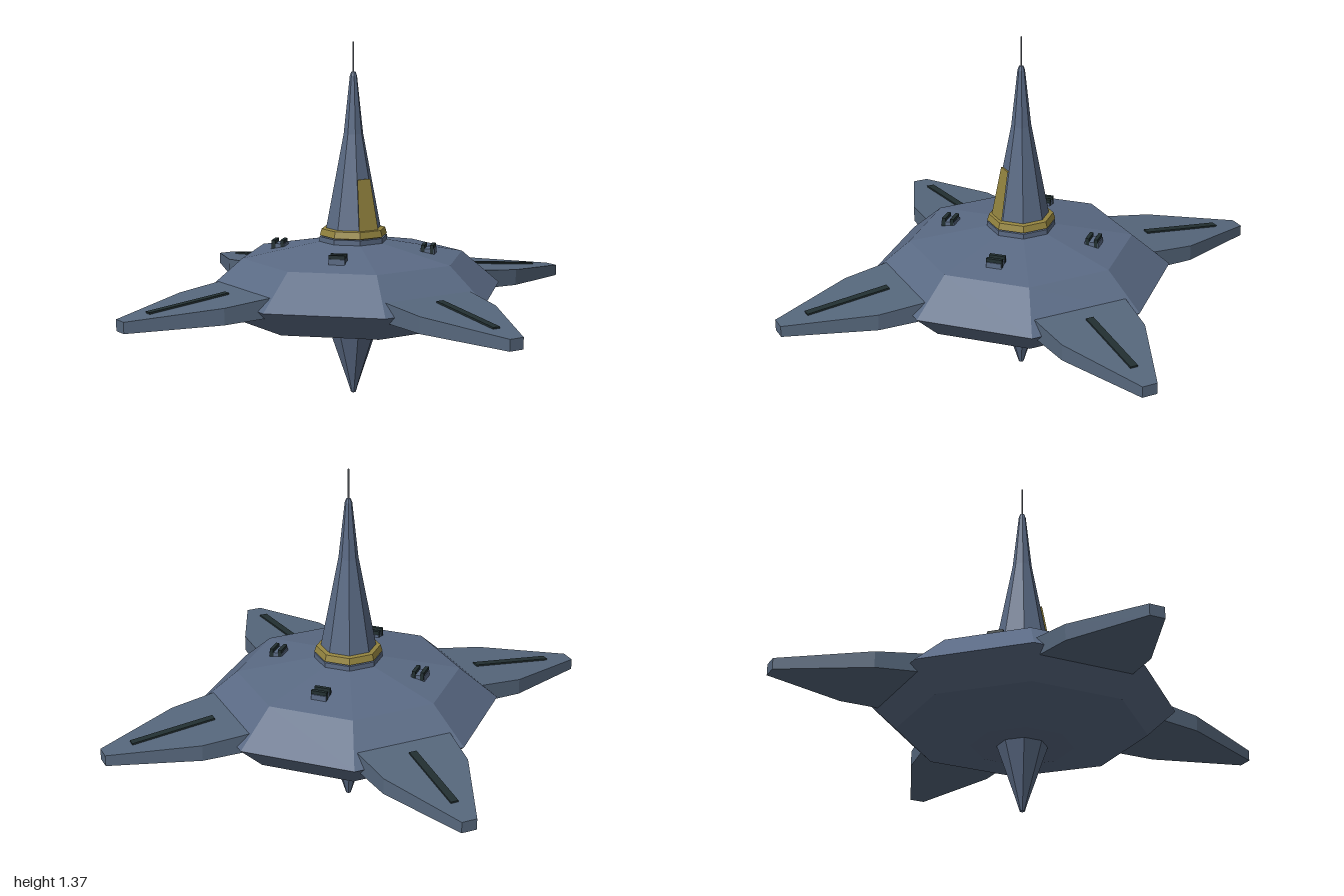
import * as THREE from 'three';

const mat = (name, color, side = THREE.FrontSide) =>
  new THREE.MeshStandardMaterial({ name, color, side, flatShading: true });

export function createModel() {
  const root = new THREE.Group();
  root.name = 'spaceStation';
  const hull = mat('slateHull', 0x5a6a84);
  const armMat = mat('armSlate', 0x56677c);
  const gold = mat('agedGold', 0x94843f, THREE.DoubleSide);
  const dark = mat('darkTrim', 0x222f31);
  const steel = mat('antennaGrey', 0x7c828a);

  const add = (parent, name, geometry, material) => {
    const mesh = new THREE.Mesh(geometry, material);
    mesh.name = name;
    parent.add(mesh);
    return mesh;
  };
  // Eight-sided turned part; profile is [distance to flat side, height], bottom to top
  const C = Math.cos(Math.PI / 8);
  const octagon = (profile, segments = 8, start = Math.PI / 8) =>
    new THREE.LatheGeometry(profile.map(([a, y]) => new THREE.Vector2(a / C, y)),
      segments, start, segments * Math.PI / 4);

  // Faceted saucer and the spike beneath it
  add(root, 'saucer', octagon([[0, 0.26], [0.18, 0.26], [0.44, 0.32], [0.54, 0.42],
    [0.4, 0.55], [0.115, 0.607], [0, 0.607]]), hull);
  add(root, 'lowerSpike', octagon([[0, 0], [0.009, 0.005], [0.022, 0.05], [0.092, 0.27]]), hull);

  // Central spire with collar, window and antenna
  add(root, 'spireBase', octagon([[0.122, 0.59], [0.122, 0.625], [0, 0.625]]), hull);
  add(root, 'goldCollar', octagon([[0.108, 0.625], [0.122, 0.63], [0.115, 0.655], [0.098, 0.658]]), gold);
  add(root, 'spire', octagon([[0.105, 0.61], [0.1, 0.65], [0.035, 1.02], [0.013, 1.24],
    [0.008, 1.255], [0, 1.257]]), hull);
  add(root, 'spireWindow', octagon([[0.1, 0.65], [0.106, 0.65], [0.071, 0.85], [0.064, 0.85]],
    1, -Math.PI / 8), gold);
  const antenna = add(root, 'antenna', new THREE.CylinderGeometry(0.003, 0.003, 0.13, 6), steel);
  antenna.position.y = 1.305;

  // Tapered arm: extruded outline whose top and bottom slope towards the tip
  const outline = new THREE.Shape([[0.46, -0.19], [0.49, -0.19], [0.67, -0.17], [1, -0.03],
    [1, 0.03], [0.67, 0.17], [0.49, 0.19], [0.46, 0.19]].map(([x, z]) => new THREE.Vector2(x, z)));
  const topAt = (x) => 0.466 - 0.11 * (x - 0.49);
  const bottomAt = (x) => 0.393 - 0.051 * (x - 0.49);
  const armGeo = new THREE.ExtrudeGeometry(outline, { depth: 1, bevelEnabled: false });
  armGeo.rotateX(-Math.PI / 2);
  const p = armGeo.attributes.position;
  for (let i = 0; i < p.count; i++) {
    const x = p.getX(i);
    p.setY(i, p.getY(i) > 0.5 ? topAt(x) : bottomAt(x));
  }
  armGeo.computeVertexNormals();
  const stripeGeo = new THREE.BoxGeometry(0.33, 0.009, 0.03);

  for (let i = 0; i < 4; i++) {
    const arm = new THREE.Group();
    arm.name = 'arm' + (i + 1);
    arm.rotation.y = i * Math.PI / 2;
    add(arm, 'armBody', armGeo, armMat);
    const stripe = add(arm, 'armStripe', stripeGeo, dark);
    stripe.position.set(0.725, topAt(0.725) + 0.002, 0);
    stripe.rotation.z = -Math.atan(0.11);
    root.add(arm);

    // Pair of dark bars on a low plinth, on each diagonal of the deck
    const vent = new THREE.Group();
    vent.name = 'deckVent' + (i + 1);
    vent.rotation.y = Math.PI / 4 + i * Math.PI / 2;
    add(vent, 'ventPlinth', new THREE.BoxGeometry(0.055, 0.03, 0.06), hull).position.set(0.293, 0.572, 0);
    for (const s of [-1, 1]) {
      add(vent, 'ventBar', new THREE.BoxGeometry(0.014, 0.036, 0.062), dark)
        .position.set(0.293 + s * 0.017, 0.583, 0);
    }
    root.add(vent);
  }
  return root;
}
